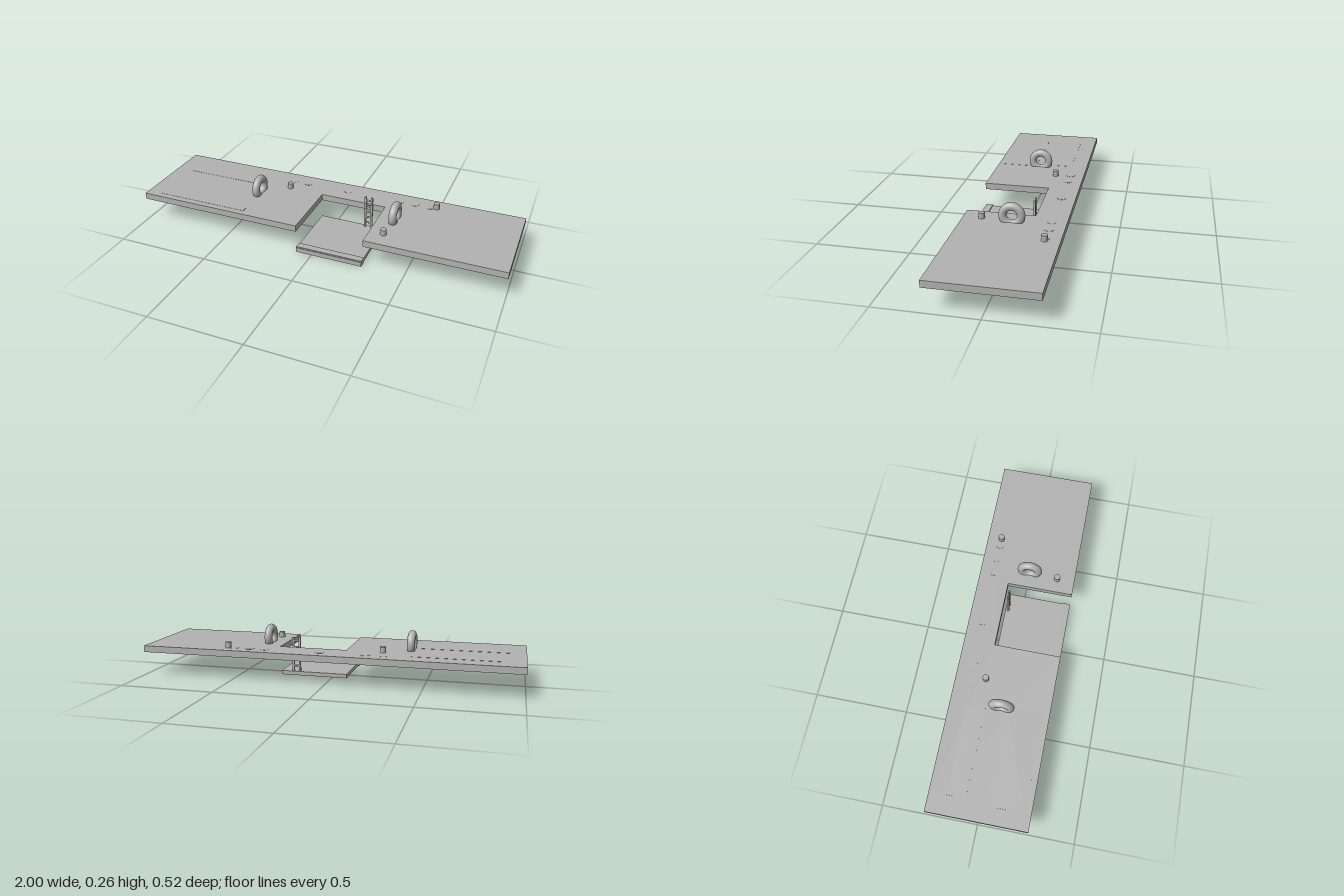
import * as THREE from 'three';

export function createModel() {
  const model = new THREE.Group();
  model.name = 'floatingDock';
  const grey = new THREE.MeshStandardMaterial({ color: 0xb2b2b2 });
  grey.name = 'plain grey';

  const add = (name, geometry, x, y, z, parent = model) => {
    const mesh = new THREE.Mesh(geometry, grey);
    mesh.name = name;
    mesh.position.set(x, y, z);
    parent.add(mesh);
    return mesh;
  };
  // Box given by its limits on each axis
  const box = (name, [x0, x1], [y0, y1], [z0, z1], parent) =>
    add(name, new THREE.BoxGeometry(x1 - x0, y1 - y0, z1 - z0),
      (x0 + x1) / 2, (y0 + y1) / 2, (z0 + z1) / 2, parent);

  const bottom = 0.125, top = 0.16, half = 0.261;

  // Deck slab with a notch open to the front
  const outline = new THREE.Shape([
    [-1, -half], [-0.085, -half], [-0.085, 0.095], [0.28, 0.095],
    [0.28, -half], [1, -half], [1, half], [-1, half],
  ].map(([x, y]) => new THREE.Vector2(x, y)));
  const slab = new THREE.ExtrudeGeometry(outline, { depth: top - bottom, bevelEnabled: false });
  slab.rotateX(-Math.PI / 2);
  add('deck', slab, 0, bottom, 0);

  // Low platform below the notch, with a thicker front lip
  box('platform', [-0.084, 0.275], [0.006, 0.027], [-0.091, 0.262]);
  box('platformLip', [-0.085, 0.276], [0, 0.033], [0.222, 0.259]);

  // Ladder
  const ladder = new THREE.Group();
  ladder.name = 'ladder';
  model.add(ladder);
  for (const x of [0.177, 0.213]) {
    box('ladderRail', [x - 0.005, x + 0.005], [0.02, 0.211], [-0.08, -0.07], ladder);
  }
  for (let i = 0; i < 5; i++) {
    const rung = new THREE.CylinderGeometry(0.005, 0.005, 0.036, 12).rotateZ(Math.PI / 2);
    add('ladderRung', rung, 0.195, 0.055 + i * 0.034, -0.075, ladder);
  }

  // Upright rings set into the deck
  for (const x of [-0.415, 0.368]) {
    const ring = new THREE.TorusGeometry(0.0468, 0.0208, 24, 48).rotateY(Math.PI / 2);
    add('ring', ring, x, 0.1933, 0.009);
  }

  // Bollards
  for (const [x, z] of [[-0.28, -0.102], [0.54, -0.185], [0.357, 0.165]]) {
    add('bollard', new THREE.CylinderGeometry(0.016, 0.016, 0.032, 32), x, 0.174, z);
  }

  // Thin round pads along the back
  for (const x of [-0.296, -0.205, 0.036, 0.336, 0.42, 0.506]) {
    add('roundPad', new THREE.CylinderGeometry(0.024, 0.024, 0.002, 32), x, top, -0.186);
  }

  // Thin flat panels on the deck and one under it
  box('rearPanel', [-0.9, -0.435], [top - 0.001, top + 0.001], [-0.17, -0.072]);
  box('frontPanel', [-0.915, -0.405], [top - 0.001, top + 0.001], [0.036, 0.228]);
  box('underPanel', [0.72, 0.985], [bottom - 0.001, bottom + 0.001], [0.098, 0.24]);

  return model;
}
